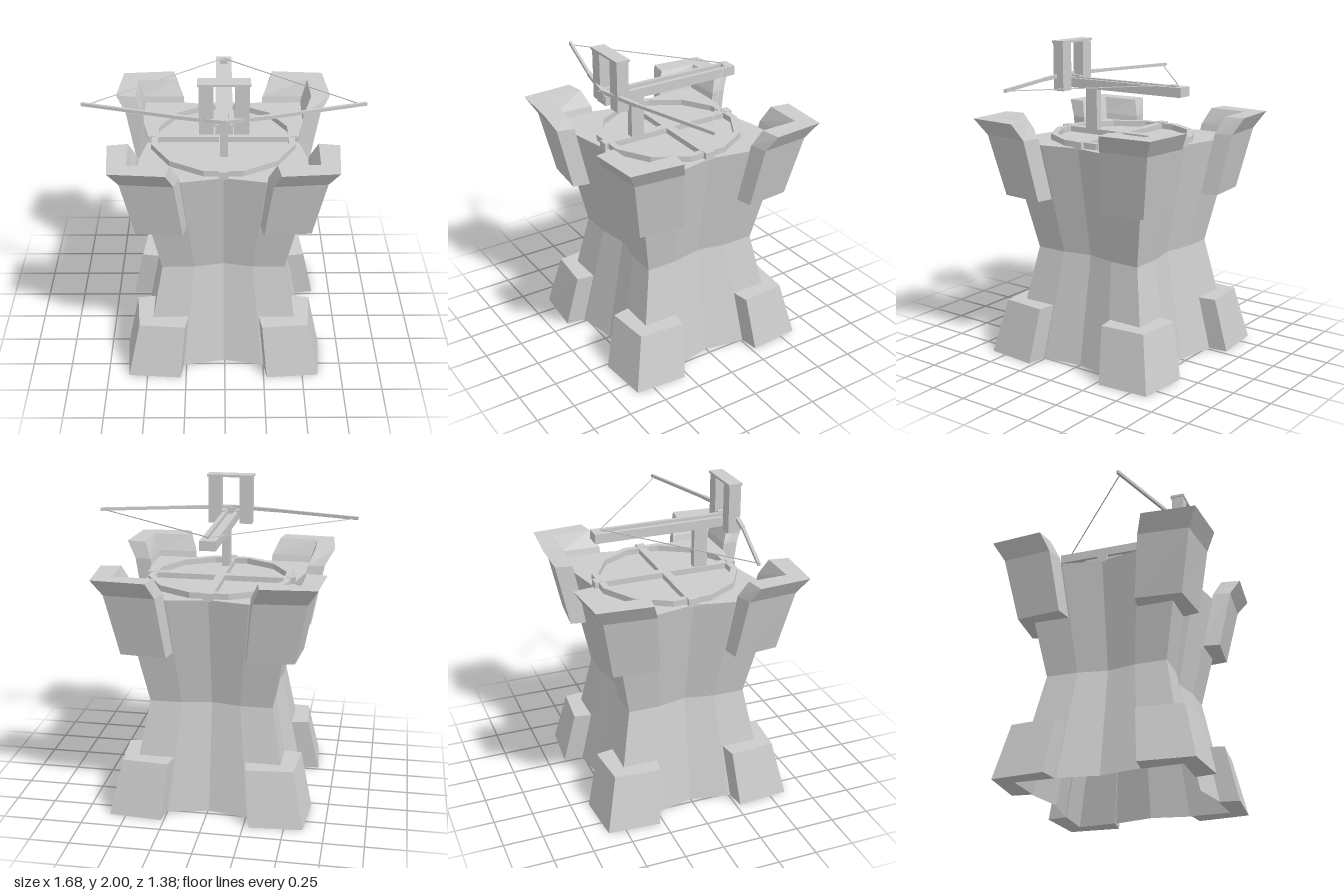
import * as THREE from 'three';

const stone = new THREE.MeshStandardMaterial({ color: 0xcccccc, flatShading: true, side: THREE.DoubleSide });

// Faceted solid through stacked loops of [x, z] points: levels = [{ y, loop }]
function loft(levels, capBottom, capTop) {
  const pos = [];
  const put = (level, i) => {
    const p = level.loop[i % level.loop.length];
    pos.push(p[0], level.y, p[1]);
  };
  for (let k = 0; k < levels.length - 1; k++) {
    const a = levels[k], b = levels[k + 1];
    for (let i = 0; i < a.loop.length; i++) {
      put(a, i); put(a, i + 1); put(b, i + 1);
      put(a, i); put(b, i + 1); put(b, i);
    }
  }
  const cap = (level, up) => {
    const contour = level.loop.map(([x, z]) => new THREE.Vector2(x, -z));
    for (const f of THREE.ShapeUtils.triangulateShape(contour, [])) {
      (up ? f : [...f].reverse()).forEach((i) => put(level, i));
    }
  };
  if (capBottom) cap(levels[0], false);
  if (capTop) cap(levels[levels.length - 1], true);
  const g = new THREE.BufferGeometry();
  g.setAttribute('position', new THREE.Float32BufferAttribute(pos, 3));
  g.computeVertexNormals();
  return g;
}

function add(parent, name, geometry) {
  const mesh = new THREE.Mesh(geometry, stone);
  mesh.name = name;
  parent.add(mesh);
  return mesh;
}

// Box given by its limits on each axis
function box(parent, name, x0, x1, y0, y1, z0, z1) {
  const mesh = add(parent, name, new THREE.BoxGeometry(x1 - x0, y1 - y0, z1 - z0));
  mesh.position.set((x0 + x1) / 2, (y0 + y1) / 2, (z0 + z1) / 2);
  return mesh;
}

// Square outline with dented sides
function wallLoop(s) {
  const side = [[-1, 1], [-0.48, 0.995], [0, 0.9], [0.48, 0.995]];
  const loop = [];
  for (let q = 0; q < 4; q++) {
    for (let [x, z] of side) {
      for (let r = 0; r < q; r++) [x, z] = [z, -x];
      loop.push([x * s, z * s]);
    }
  }
  return loop;
}

// L-shaped corner section: outer end, outer corner, inner end, inner corner
const cornerLoop = (ex, ez, c, ix, iz, ic) =>
  [[ex, ez], [c, c], [ez, ex], [iz, ix], [ic, ic], [ix, iz]];

// Twelve-sided outline
function polygon(PathType, r) {
  const points = [];
  for (let i = 0; i < 12; i++) {
    const a = ((i + 0.5) * Math.PI) / 6;
    points.push(new THREE.Vector2(r * Math.cos(a), r * Math.sin(a)));
  }
  return new PathType(points);
}

// Square bar between two points
function bar(parent, name, from, to, width, height) {
  const mesh = add(parent, name, new THREE.BoxGeometry(width, height, from.distanceTo(to)));
  mesh.position.copy(from).lerp(to, 0.5);
  mesh.lookAt(to);
  return mesh;
}

function buildTower() {
  const tower = new THREE.Group();
  tower.name = 'tower';

  // Waisted wall, open underneath, with a flat roof
  add(tower, 'wall', loft([
    { y: 0, loop: wallLoop(0.515) },
    { y: 0.7, loop: wallLoop(0.385) },
    { y: 1.4, loop: wallLoop(0.518) },
  ], false, true));

  // Corner feet and flared battlements
  const foot = loft([
    { y: 0, loop: cornerLoop(0.278, 0.635, 0.61, 0.26, 0.505, 0.512) },
    { y: 0.35, loop: cornerLoop(0.245, 0.56, 0.535, 0.225, 0.435, 0.44) },
  ], true, true);
  const battlement = loft([
    { y: 1.05, loop: cornerLoop(0.244, 0.557, 0.53, 0.222, 0.435, 0.44) },
    { y: 1.44, loop: cornerLoop(0.288, 0.632, 0.605, 0.262, 0.522, 0.525) },
    { y: 1.545, loop: cornerLoop(0.33, 0.692, 0.665, 0.31, 0.567, 0.56) },
  ], true, true);
  for (let q = 0; q < 4; q++) {
    add(tower, 'cornerFoot', foot).rotation.y = (q * Math.PI) / 2;
    add(tower, 'battlement', battlement).rotation.y = (q * Math.PI) / 2;
  }

  // Turntable ring with crossed beams and end tabs
  const ringShape = polygon(THREE.Shape, 0.46);
  ringShape.holes.push(polygon(THREE.Path, 0.418));
  const ring = add(tower, 'turntableRing', new THREE.ExtrudeGeometry(ringShape, { depth: 0.037, bevelEnabled: false }));
  ring.rotation.x = -Math.PI / 2;
  ring.position.y = 1.4;
  box(tower, 'crossBeam', -0.43, 0.43, 1.39, 1.434, -0.027, 0.027);
  box(tower, 'longBeam', -0.027, 0.027, 1.39, 1.436, -0.43, 0.43);
  for (const s of [-1, 1]) {
    box(tower, 'ringTab', s * 0.445 - 0.025, s * 0.445 + 0.025, 1.39, 1.441, -0.03, 0.03);
    box(tower, 'ringTab', -0.03, 0.03, 1.39, 1.441, s * 0.445 - 0.025, s * 0.445 + 0.025);
  }
  return tower;
}

function buildBallista() {
  const ballista = new THREE.Group();
  ballista.name = 'ballista';

  // Post and grooved rail
  box(ballista, 'post', -0.023, 0.023, 1.41, 1.72, 0.19, 0.278);
  const section = new THREE.Shape([
    [-0.05, 1.697], [0.05, 1.697], [0.05, 1.756], [0.024, 1.756],
    [0.024, 1.73], [-0.024, 1.73], [-0.024, 1.756], [-0.05, 1.756],
  ].map(([x, y]) => new THREE.Vector2(x, y)));
  const rail = add(ballista, 'rail', new THREE.ExtrudeGeometry(section, { depth: 0.93, bevelEnabled: false }));
  rail.position.z = -0.46;
  box(ballista, 'railEnd', -0.05, 0.05, 1.698, 1.757, -0.464, -0.41);
  box(ballista, 'bowMount', -0.03, 0.03, 1.725, 1.77, 0.43, 0.472);

  // Upright frame across the front of the rail
  box(ballista, 'frameTop', -0.152, 0.152, 1.985, 2, 0.358, 0.448);
  for (const s of [-1, 1]) {
    box(ballista, 'framePost', s * 0.103 - 0.042, s * 0.103 + 0.042, 1.68, 1.99, 0.365, 0.443);
    box(ballista, 'frameBracket', s * 0.055 - 0.02, s * 0.055 + 0.02, 1.73, 1.765, 0.375, 0.435);

    // Bow limb in two tapering lengths, and its string
    const middle = new THREE.Vector3(0, 1.772, 0.46);
    const bend = new THREE.Vector3(s * 0.3, 1.772, 0.39);
    const tip = new THREE.Vector3(s * 0.84, 1.772, 0.234);
    bar(ballista, 'innerBowLimb', middle, bend, 0.024, 0.022);
    bar(ballista, 'outerBowLimb', bend, tip, 0.017, 0.02);
    bar(ballista, 'bowString', new THREE.Vector3(s * 0.81, 1.768, 0.238), new THREE.Vector3(0, 1.768, -0.415), 0.005, 0.005);
  }
  return ballista;
}

export function createModel() {
  const model = new THREE.Group();
  model.name = 'ballistaTower';
  const tower = buildTower();
  const ballista = buildBallista();
  tower.position.x = -0.008;
  ballista.position.x = -0.004;
  model.add(tower, ballista);
  return model;
}
